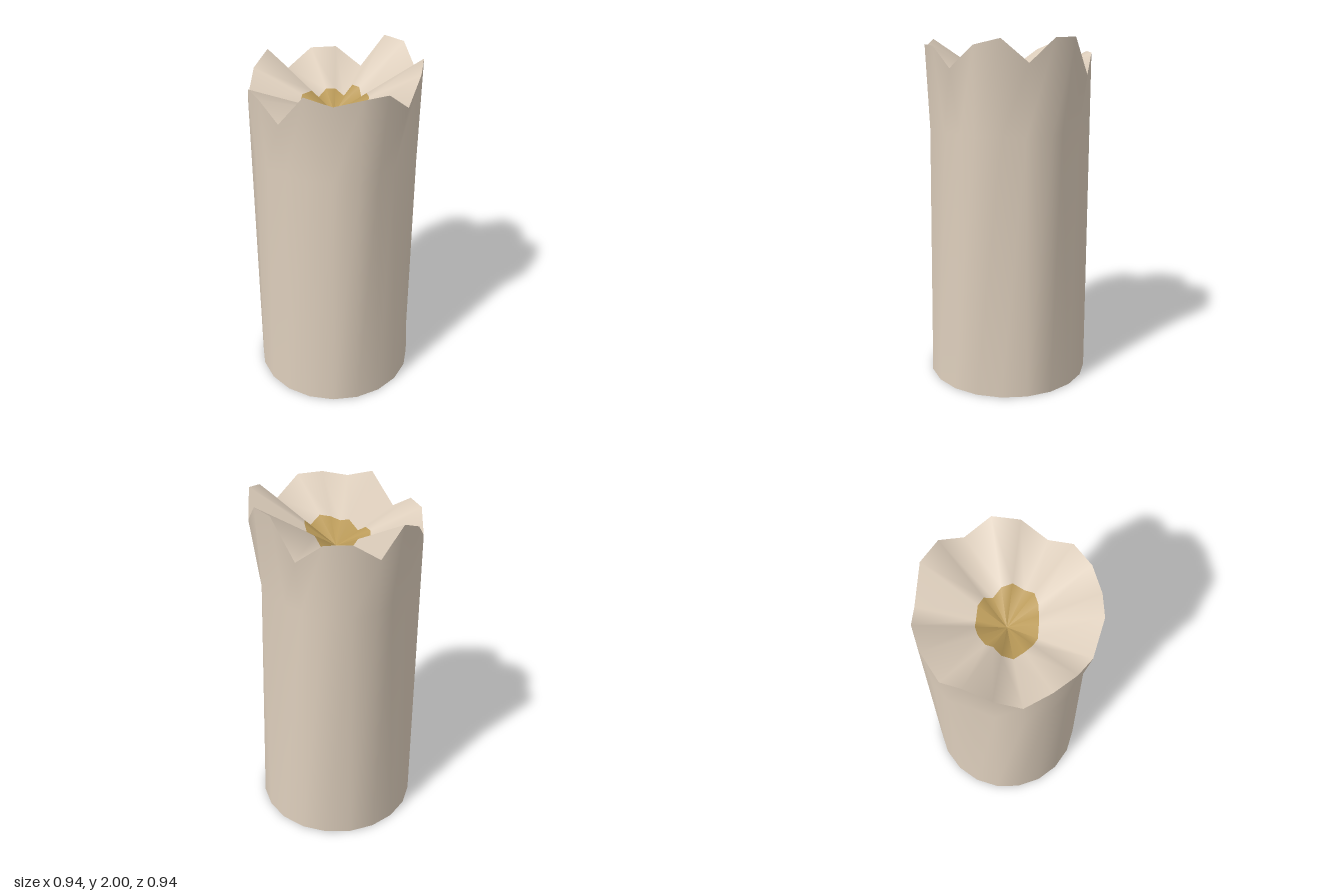
import * as THREE from 'three';

const SIDES = 20, RADIUS = 0.47, WAIST_Y = 1.48;
const APEX = new THREE.Vector3(0, 1.69, 0);

// One value per side, starting at the front and turning towards +x
const rimY = [1.965, 1.925, 1.95, 1.95, 1.84, 1.965, 2, 1.875, 2, 2,
  1.79, 1.9, 1.9, 1.8, 1.95, 1.89, 1.78, 1.88, 1.88, 1.79];
const waistR = [0.43, 0.43, 0.45, 0.41, 0.4, 0.47, 0.41, 0.42, 0.45, 0.395,
  0.43, 0.47, 0.45, 0.45, 0.41, 0.42, 0.47, 0.45, 0.44, 0.43];
const poolR = [0.16, 0.162, 0.178, 0.197, 0.2, 0.195, 0.173, 0.155, 0.165, 0.164,
  0.16, 0.164, 0.164, 0.155, 0.158, 0.188, 0.191, 0.187, 0.182, 0.173];

function ringPoint(k, r, y) {
  const a = (k / SIDES) * Math.PI * 2;
  return new THREE.Vector3(Math.sin(a) * r, y, Math.cos(a) * r);
}
const wrap = (k) => (k + SIDES) % SIDES;
const rimPoint = (k) => ringPoint(k, RADIUS, rimY[wrap(k)]);

// Outer wall: base, waist and jagged rim joined by smooth quads
function wallGeometry() {
  const pos = [], index = [];
  for (let k = 0; k < SIDES; k++) pos.push(...ringPoint(k, RADIUS, 0).toArray());
  for (let k = 0; k < SIDES; k++) pos.push(...ringPoint(k, waistR[k], WAIST_Y).toArray());
  for (let k = 0; k < SIDES; k++) pos.push(...rimPoint(k).toArray());
  for (let row = 0; row < 2; row++) {
    for (let k = 0; k < SIDES; k++) {
      const a = row * SIDES + k, b = row * SIDES + wrap(k + 1);
      index.push(a, b, b + SIDES, a, b + SIDES, a + SIDES);
    }
  }
  const geo = new THREE.BufferGeometry();
  geo.setAttribute('position', new THREE.Float32BufferAttribute(pos, 3));
  geo.setIndex(index);
  geo.computeVertexNormals();
  return geo;
}

// Normal along each ray of the hollow, averaged from its two neighbouring facets
function facetNormal(k) {
  const a = rimPoint(k).sub(APEX), b = rimPoint(k + 1).sub(APEX);
  return a.cross(b).normalize();
}
const rayNormal = (k) => facetNormal(k - 1).add(facetNormal(k)).normalize();

// Part of the funnel-shaped hollow between two fractions of each ray
function hollowGeometry(from, to) {
  const pos = [], nor = [];
  const onRay = (k, t) => APEX.clone().lerp(rimPoint(k), t);
  const add = (k, t) => {
    pos.push(...onRay(k, t).toArray());
    nor.push(...rayNormal(k).toArray());
  };
  for (let k = 0; k < SIDES; k++) {
    const n = k + 1;
    add(k, from(k)); add(k, to(k)); add(n, to(n));
    if (from(k) > 0) { add(k, from(k)); add(n, to(n)); add(n, from(n)); }
  }
  const geo = new THREE.BufferGeometry();
  geo.setAttribute('position', new THREE.Float32BufferAttribute(pos, 3));
  geo.setAttribute('normal', new THREE.Float32BufferAttribute(nor, 3));
  return geo;
}

export function createModel() {
  const cream = new THREE.MeshStandardMaterial({ color: 0xdccdbb });
  cream.name = 'cream';
  const gold = new THREE.MeshStandardMaterial({ color: 0xba9a58 });
  gold.name = 'gold';

  const group = new THREE.Group();
  group.name = 'brokenStump';
  const add = (name, geometry, material) => {
    const mesh = new THREE.Mesh(geometry, material);
    mesh.name = name;
    group.add(mesh);
  };

  const poolEdge = (k) => poolR[wrap(k)] / RADIUS;
  add('outerWall', wallGeometry(), cream);
  add('base', new THREE.CircleGeometry(RADIUS, SIDES).rotateX(Math.PI / 2), cream);
  add('hollow', hollowGeometry(poolEdge, () => 1), cream);
  add('goldenCore', hollowGeometry(() => 0, poolEdge), gold);
  return group;
}
